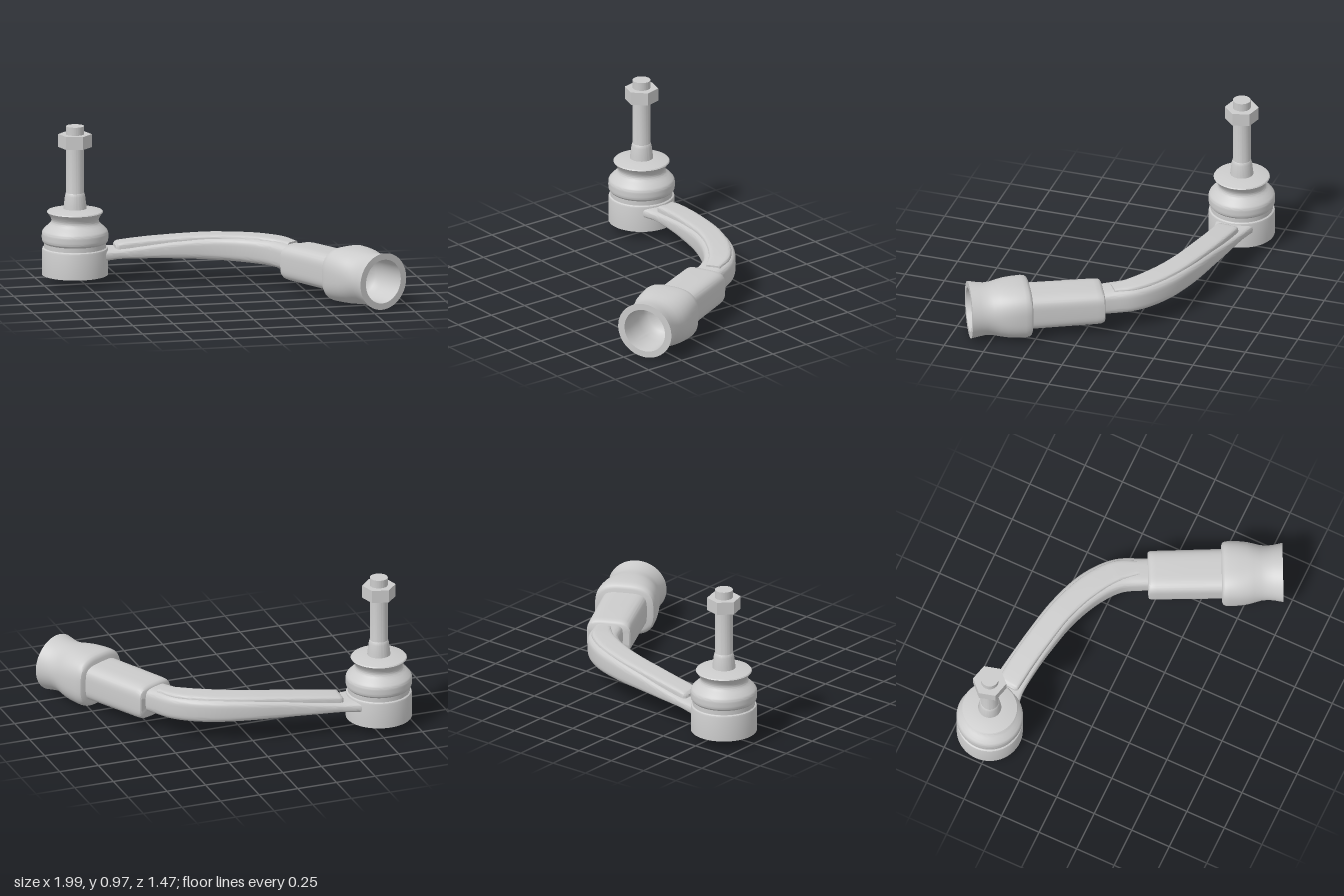
import * as THREE from 'three';
import { toCreasedNormals } from 'three/addons/utils/BufferGeometryUtils.js';

const material = new THREE.MeshStandardMaterial({ color: 0xcccccc });

function add(group, name, geometry) {
  const mesh = new THREE.Mesh(geometry, material);
  mesh.name = name;
  group.add(mesh);
  return mesh;
}

// Skins superellipse rings; each ring: x, z, direction (tx, tz), half width w, y range, squareness n
function loft(rings, sides = 48, crease = 0.6) {
  const pos = [], index = [];
  const bend = (v, n) => Math.sign(v) * Math.abs(v) ** (2 / n);
  for (const { x, z, tx, tz, w, y0, y1, n } of rings) {
    for (let j = 0; j < sides; j++) {
      const a = (j / sides) * Math.PI * 2;
      const u = w * bend(Math.cos(a), n);
      const v = (y1 - y0) / 2 * bend(Math.sin(a), n);
      pos.push(x + tz * u, (y0 + y1) / 2 + v, z - tx * u);
    }
  }
  for (let i = 0; i < rings.length - 1; i++) {
    for (let j = 0; j < sides; j++) {
      const k = (j + 1) % sides;
      const a = i * sides + j, b = i * sides + k, c = a + sides, d = b + sides;
      index.push(a, b, d, a, d, c);
    }
  }
  const g = new THREE.BufferGeometry();
  g.setAttribute('position', new THREE.Float32BufferAttribute(pos, 3));
  g.setIndex(index);
  return toCreasedNormals(g, crease);
}

// Rings along a curved path; each row: x, z, half width, bottom y, top y
function sweep(rows, n, steps) {
  const path = new THREE.CatmullRomCurve3(rows.map(r => new THREE.Vector3(r[0], 0, r[1])));
  const size = new THREE.CatmullRomCurve3(rows.map(r => new THREE.Vector3(r[2], r[3], r[4])));
  const rings = [];
  for (let i = 0; i <= steps; i++) {
    const p = path.getPoint(i / steps), t = path.getTangent(i / steps), s = size.getPoint(i / steps);
    rings.push({ x: p.x, z: p.z, tx: t.x, tz: t.z, w: s.x, y0: s.y, y1: s.z, n });
  }
  // closed ends
  const closed = r => ({ ...r, w: 0, y0: (r.y0 + r.y1) / 2, y1: (r.y0 + r.y1) / 2 });
  return loft([closed(rings[0]), ...rings, closed(rings[steps])]);
}

function lathe(points) {
  const g = new THREE.LatheGeometry(points.map(p => new THREE.Vector2(...p)), 64);
  return toCreasedNormals(g, 0.6);
}

export function createModel() {
  const model = new THREE.Group();
  model.name = 'tieRodEnd';

  // Ball joint, turned about its own upright axis
  const joint = new THREE.Group();
  joint.name = 'ballJoint';
  joint.position.set(-0.8, 0, -0.54);
  model.add(joint);

  add(joint, 'housing', lathe([
    [0, 0.063], [0.2, 0.063], [0.2, 0.215], [0.197, 0.225], [0.19, 0.23], [0, 0.23],
  ]));

  const bootSide = new THREE.SplineCurve([
    [0.188, 0.258], [0.199, 0.272], [0.201, 0.3], [0.198, 0.328], [0.178, 0.352],
    [0.15, 0.378], [0.143, 0.398], [0.151, 0.42], [0.17, 0.447],
  ].map(p => new THREE.Vector2(...p))).getPoints(32).map(p => [p.x, p.y]);
  add(joint, 'boot', lathe([
    [0, 0.225], [0.188, 0.225], [0.188, 0.25], ...bootSide,
    [0.165, 0.453], [0.12, 0.463], [0.07, 0.468], [0, 0.468],
  ]));

  add(joint, 'stud', lathe([
    [0, 0.46], [0.071, 0.46], [0.068, 0.49], [0.061, 0.545], [0.056, 0.563],
    [0.054, 0.565], [0.054, 0.975], [0, 0.975],
  ]));

  const nutGeometry = new THREE.CylinderGeometry(0.102, 0.102, 0.08, 6).toNonIndexed();
  nutGeometry.computeVertexNormals();
  const nut = add(joint, 'nut', nutGeometry);
  nut.position.y = 0.885;
  nut.rotation.y = Math.PI / 12;

  // Curved arm, widening into the housing
  add(model, 'arm', sweep([
    [-0.74, -0.545, 0.15, 0.14, 0.22],
    [-0.63, -0.543, 0.115, 0.148, 0.216],
    [-0.53, -0.538, 0.097, 0.155, 0.218],
    [-0.37, -0.518, 0.091, 0.153, 0.238],
    [-0.21, -0.49, 0.09, 0.15, 0.26],
    [0.02, -0.438, 0.093, 0.142, 0.28],
    [0.23, -0.352, 0.098, 0.132, 0.285],
    [0.375, -0.24, 0.096, 0.125, 0.28],
    [0.45, -0.11, 0.09, 0.12, 0.27],
    [0.5, -0.01, 0.09, 0.12, 0.26],
  ], 4, 60));

  // Raised pad along the top of the arm
  add(model, 'armPad', sweep([
    [-0.555, -0.54, 0.055, 0.17, 0.235],
    [-0.54, -0.539, 0.068, 0.17, 0.25],
    [-0.37, -0.518, 0.07, 0.18, 0.27],
    [-0.21, -0.49, 0.07, 0.2, 0.283],
    [0.02, -0.438, 0.07, 0.2, 0.297],
    [0.23, -0.352, 0.072, 0.2, 0.299],
    [0.375, -0.25, 0.066, 0.2, 0.295],
    [0.455, -0.14, 0.045, 0.2, 0.283],
  ], 6, 50));

  // Straight sleeve and bored socket on one axis; rows: distance, half width, half height, squareness
  const axis = { x: 0.465, z: -0.08, tx: 0.445, tz: 0.895 };
  const alongAxis = rows => loft(rows.map(([s, w, h, n]) => ({
    ...axis, x: axis.x + axis.tx * s, z: axis.z + axis.tz * s, w, y0: 0.18 - h, y1: 0.18 + h, n,
  })), 64);

  add(model, 'sleeve', alongAxis([
    [0, 0, 0, 4], [0, 0.127, 0.088, 4], [0.006, 0.135, 0.099, 4], [0.02, 0.137, 0.107, 4],
    [0.05, 0.137, 0.11, 4], [0.25, 0.138, 0.111, 4], [0.48, 0.14, 0.112, 4], [0.48, 0, 0, 4],
  ]));

  add(model, 'socket', alongAxis([
    [0.445, 0, 0, 3], [0.445, 0.165, 0.135, 3], [0.452, 0.179, 0.152, 3], [0.465, 0.185, 0.162, 3],
    [0.49, 0.188, 0.167, 2.9], [0.55, 0.188, 0.167, 2.7], [0.6, 0.184, 0.166, 2.5],
    [0.64, 0.176, 0.163, 2.3], [0.68, 0.168, 0.158, 2.1], [0.72, 0.165, 0.157, 2],
    [0.76, 0.169, 0.163, 2], [0.815, 0.18, 0.173, 2],
    // bore
    [0.815, 0.137, 0.134, 2], [0.77, 0.132, 0.131, 2], [0.65, 0.13, 0.13, 2],
    [0.6, 0.12, 0.12, 2], [0.57, 0.1, 0.1, 2], [0.55, 0.06, 0.06, 2], [0.545, 0, 0, 2],
  ]));

  return model;
}
